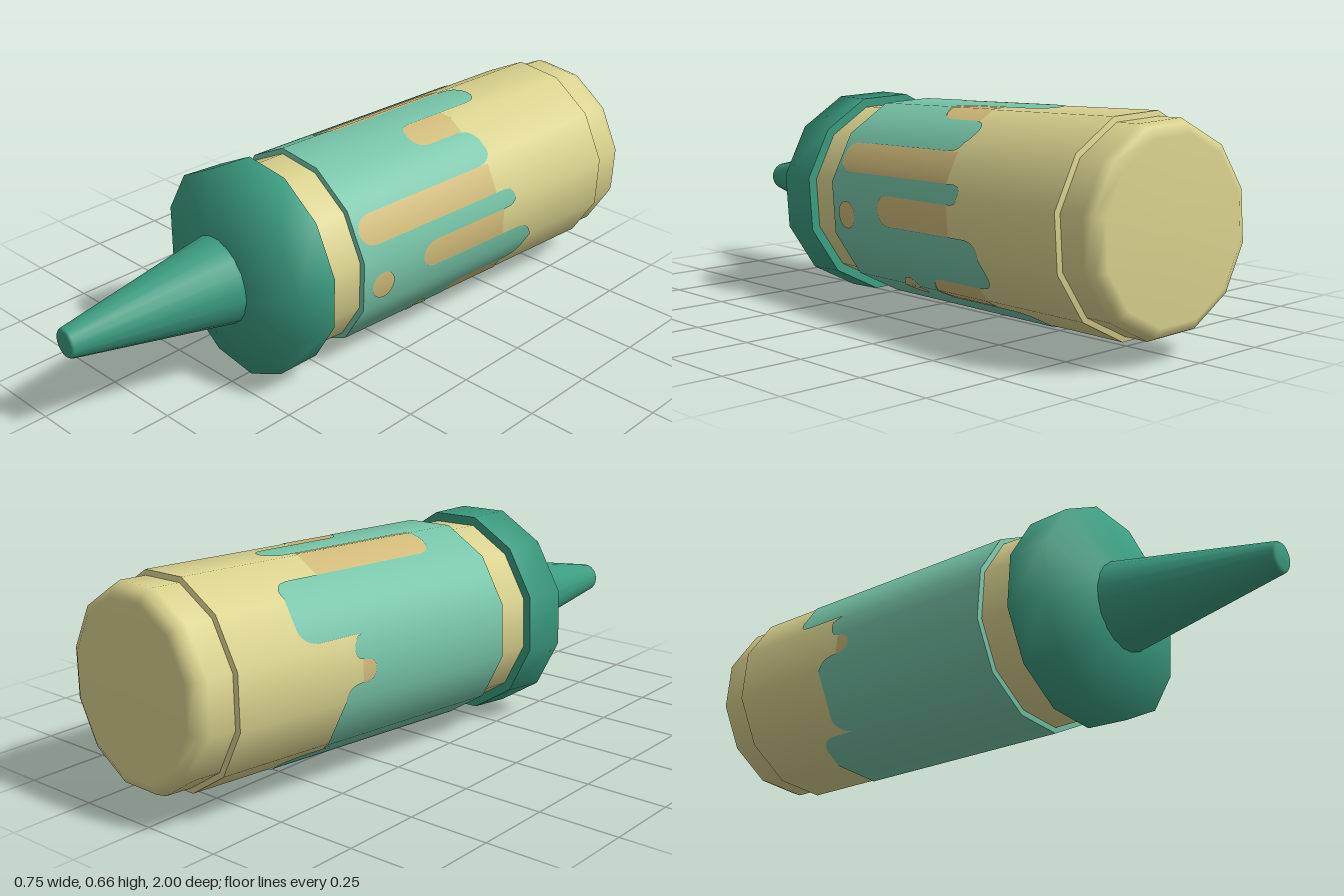
import * as THREE from 'three';

const mat = (name, color, side = THREE.FrontSide) => {
  const m = new THREE.MeshStandardMaterial({ color, side });
  m.name = name;
  return m;
};
const RAD = Math.PI / 180;
const SIDES = 12, TURN = 12;      // twelve-sided bottle, first corner at 12 degrees
const BODY_R = 0.312, FRONT = 0.18;

// Radius of the twelve-sided body at an angle in degrees
function bodyRadius(deg) {
  const d = ((((deg - TURN) % 30) + 30) % 30) - 15;
  return BODY_R * Math.cos(15 * RAD) / Math.cos(d * RAD);
}
function onBody(deg, t, lift) {
  const r = bodyRadius(deg) + lift, a = deg * RAD;
  return [r * Math.cos(a), t, -r * Math.sin(a)];
}
const outward = (deg) => [Math.cos(deg * RAD), 0, -Math.sin(deg * RAD)];

function geometryFrom(pos, nor, idx) {
  const g = new THREE.BufferGeometry();
  g.setAttribute('position', new THREE.Float32BufferAttribute(pos, 3));
  g.setAttribute('normal', new THREE.Float32BufferAttribute(nor, 3));
  g.setIndex(idx);
  return g;
}

// Thin painted plate following the body from angle a to b, between lo(deg) and hi(deg)
function paintPlate(a, b, lo, hi, lift) {
  const pos = [], nor = [], idx = [];
  for (let d = a; d <= b; d++) {
    pos.push(...onBody(d, lo(d), lift), ...onBody(d, hi(d), lift));
    nor.push(...outward(d), ...outward(d));
    if (d > a) {
      const k = (d - a) * 2;
      idx.push(k - 2, k, k + 1, k - 2, k + 1, k - 1);
    }
  }
  return geometryFrom(pos, nor, idx);
}

// Round painted spot wrapped on the body
function paintSpot(deg, t, rx, ry, lift) {
  const pos = onBody(deg, t, lift), nor = outward(deg), idx = [], n = 24;
  for (let i = 0; i < n; i++) {
    const a = i / n * Math.PI * 2;
    const d = deg + Math.cos(a) * rx / BODY_R / RAD;
    pos.push(...onBody(d, t + Math.sin(a) * ry, lift));
    nor.push(...outward(d));
    idx.push(0, i + 1, (i + 1) % n + 1);
  }
  return geometryFrom(pos, nor, idx);
}

export function createModel() {
  const green = mat('green cap', 0x3b9c80);
  const cream = mat('cream plastic', 0xd9d28e);
  const teal = mat('teal paint', 0x76c4a8, THREE.DoubleSide);
  const tan = mat('tan paint', 0xcfba79, THREE.DoubleSide);

  const root = new THREE.Group();
  root.name = 'squeezeBottle';
  const bottle = new THREE.Group();   // built along its own y axis, nozzle upward
  bottle.name = 'bottle';
  root.add(bottle);

  const add = (name, geo, material) => {
    const m = new THREE.Mesh(geo, material);
    m.name = name;
    bottle.add(m);
  };
  const turned = (name, pts, material, sides = SIDES) => add(name,
    new THREE.LatheGeometry(pts.map(p => new THREE.Vector2(...p)), sides, TURN * RAD, Math.PI * 2), material);

  // Bottle
  turned('base', [[0, -0.98], [0.255, -0.978], [0.285, -0.962], [0.296, -0.935], [0.296, -0.85]], cream);
  turned('bodyBackStep', [[0.29, -0.855], [BODY_R, -0.85]], cream);
  turned('body', [[BODY_R, -0.85], [BODY_R, FRONT]], cream);
  turned('bodyFrontStep', [[BODY_R + 0.003, FRONT], [0.29, FRONT + 0.004]], teal);
  turned('neck', [[0.298, FRONT], [0.296, 0.32]], cream);

  // Cap and nozzle
  turned('capUnderside', [[0.28, 0.302], [0.325, 0.3]], green);
  turned('cap', [[0.325, 0.3], [0.33, 0.435], [0.13, 0.488]], green);
  turned('nozzle', [[0.14, 0.48], [0.046, 0.995], [0.04, 1.003], [0, 1.005]], green, 20);

  // Dripping paint: [from angle, to angle, edge, end of tan gap if it is a gap]
  const bands = [
    [-56, -39, -0.23, -0.46], [-39, -9, -0.53], [-9, 8, -0.06, -0.4], [8, 19, -0.45],
    [19, 37, 0.165, -0.38], [37, 61, -0.4], [61, 80, -0.17, -0.36], [80, 100, -0.53],
    [100, 120, 0.02, -0.45], [120, 158, -0.62], [158, 172, -0.44], [172, 184, -0.36, -0.41],
    [184, 232, -0.48], [232, 304, -0.58],
  ];
  for (const [a, b, end, gapEnd] of bands) {
    const half = (b - a) / 2 * RAD * BODY_R, round = Math.min(half, 0.055);
    const isGap = gapEnd !== undefined;
    const edge = (d) => {
      const e = Math.min(d - a, b - d) * RAD * BODY_R;
      const inset = e < round ? round - Math.sqrt(Math.max(0, round ** 2 - (round - e) ** 2)) : 0;
      return isGap ? end - inset : end + inset;
    };
    add(isGap ? 'paintAboveGap' : 'paintDrip', paintPlate(a, b, edge, () => FRONT, 0.003), teal);
    if (isGap) add('paintGap', paintPlate(a, b, d => Math.min(gapEnd, edge(d)), edge, 0.002), tan);
  }
  add('paintSpot', paintSpot(-6, 0.105, 0.043, 0.043, 0.006), tan);
  add('paintSpot', paintSpot(-50, -0.11, 0.045, 0.04, 0.006), tan);

  // Lay the bottle down, nozzle forward and slightly askew
  const axis = new THREE.Vector3(-0.0975, -0.026, 1).normalize();
  const side = new THREE.Vector3(0, 1, 0).cross(axis).normalize();
  const down = new THREE.Vector3().crossVectors(side, axis);
  bottle.quaternion.setFromRotationMatrix(new THREE.Matrix4().makeBasis(side, axis, down));
  bottle.position.set(-0.015, 0.337, 0);
  return root;
}
